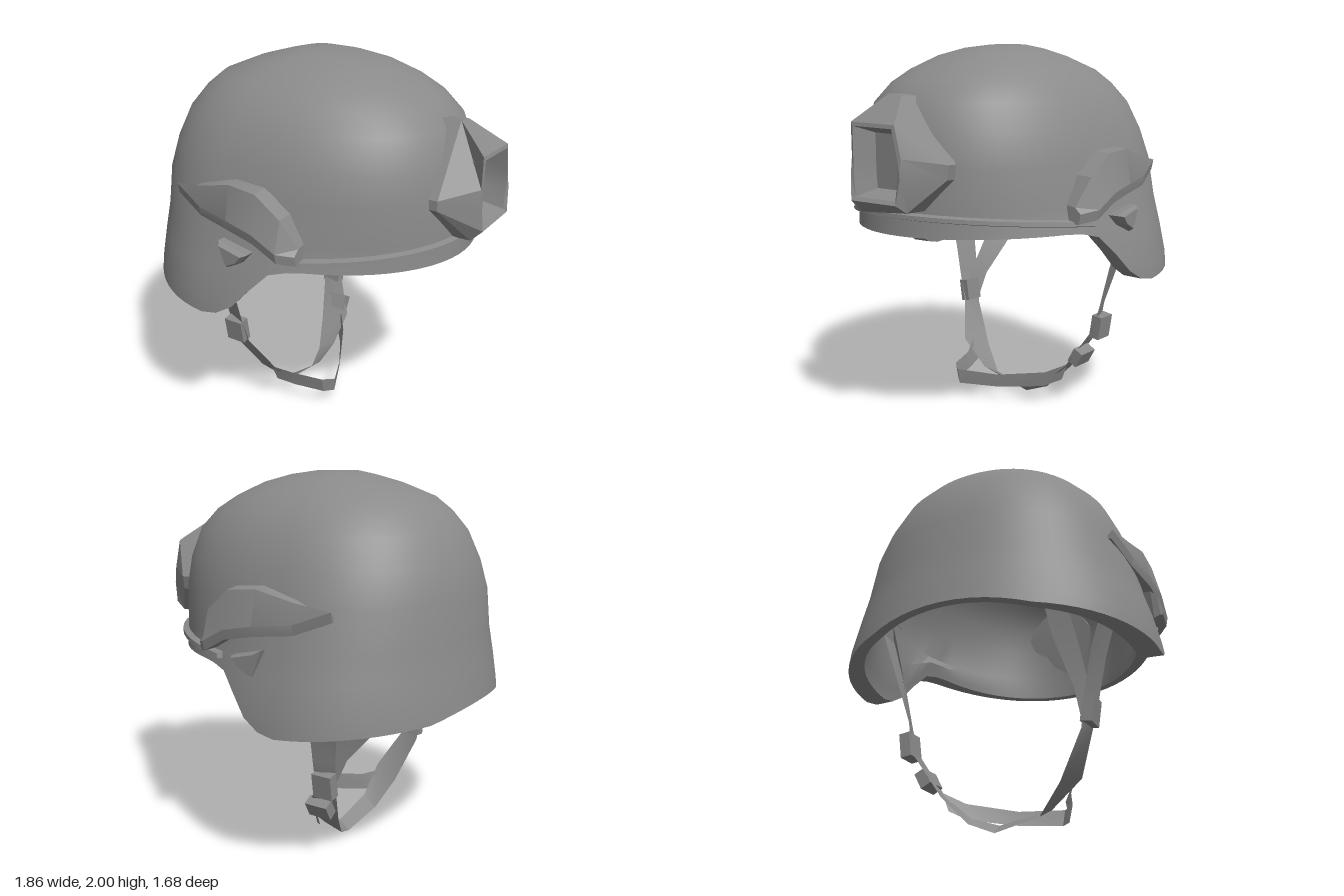
import * as THREE from 'three';
import { toCreasedNormals } from 'three/addons/utils/BufferGeometryUtils.js';

const grey = new THREE.MeshStandardMaterial({ color: 0x8a8a8a, side: THREE.DoubleSide });
grey.name = 'helmetGrey';

// Skin a list of cross-sections, each a list of [x, y, z]
function loft(rings, { closed = true, caps = false, crease = 0.6 } = {}) {
  const n = rings[0].length, index = [];
  for (let r = 0; r < rings.length - 1; r++) {
    for (let i = 0; i < (closed ? n : n - 1); i++) {
      const j = (i + 1) % n, a = r * n + i, b = r * n + j, c = b + n, d = a + n;
      index.push(a, d, b, b, d, c);
    }
  }
  if (caps) {
    const e = (rings.length - 1) * n;
    for (let i = 1; i < n - 1; i++) index.push(0, i, i + 1, e, e + i + 1, e + i);
  }
  const g = new THREE.BufferGeometry();
  g.setAttribute('position', new THREE.Float32BufferAttribute(rings.flat(2), 3));
  g.setIndex(index);
  return toCreasedNormals(g, crease);
}

function lerpTable(rows, key) {
  let i = 0;
  while (i < rows.length - 2 && key > rows[i + 1][0]) i++;
  const a = rows[i], b = rows[i + 1];
  const t = THREE.MathUtils.clamp((key - a[0]) / (b[0] - a[0]), 0, 1);
  return a.map((v, k) => v + (b[k] - v) * t);
}

// Shell outline by height: y, back x, front x, half width, x of the widest point
const SHELL = [
  [0.79, -0.95, 0.80, 0.84, -0.25], [0.9, -0.94, 0.80, 0.83, -0.25], [1.07, -0.915, 0.79, 0.79, -0.25],
  [1.2, -0.89, 0.78, 0.75, -0.25], [1.4, -0.87, 0.76, 0.71, -0.23], [1.55, -0.83, 0.735, 0.665, -0.2],
  [1.7, -0.765, 0.68, 0.60, -0.17], [1.8, -0.685, 0.585, 0.52, -0.14], [1.87, -0.6, 0.47, 0.44, -0.12],
  [1.94, -0.42, 0.32, 0.31, -0.1], [1.98, -0.27, 0.17, 0.2, -0.1], [2.0, -0.18, 0.02, 0.11, -0.1],
];
// Lower edge height by x: low at the back and ears, high over the brow
const RIM = [
  [-0.95, 0.9], [-0.85, 0.85], [-0.5, 0.815], [-0.2, 0.79], [-0.08, 0.85], [0.1, 1.05], [0.22, 1.08], [0.8, 1.07],
];

// The plan is an ellipse at the rim and grows blunter towards the crown
function shellPoint(y, angle, offset = 0) {
  const [, back, front, width, cx] = lerpTable(SHELL, y);
  const c = Math.cos(angle), s = Math.sin(angle);
  const blunt = THREE.MathUtils.smoothstep(y, 1.0, 1.5);
  const k = 1 - blunt * (c > 0 ? 0.14 : 0.07);
  const reach = c > 0 ? front - cx : cx - back;
  return [
    cx + Math.max(reach + offset, 0) * Math.sign(c) * Math.abs(c) ** k, y,
    Math.max(width + offset, 0) * Math.sign(s) * Math.abs(s) ** k,
  ];
}

function shellGeometry() {
  const N = 72, angles = Array.from({ length: N }, (_, i) => (i / N) * Math.PI * 2);
  const rim = angles.map((a) => lerpTable(RIM, shellPoint(0.9, a)[0])[1]);
  const upper = SHELL.slice(3).map((row) => row[0]);
  // The wall is thicker beside the ears
  const wall = (thick, ear, drop) => [
    ...[0, 0.2, 0.6].map((t) => angles.map((a, i) =>
      shellPoint(rim[i] + (1.2 - rim[i]) * t, a, -thick - ear * Math.sin(a) ** 4))),
    ...upper.map((y) => angles.map((a) => {
      const p = shellPoint(y, a, -thick);
      return [p[0], y - drop * (y - 1.2) / 0.8, p[2]];
    })),
  ];
  const tip = (y) => angles.map(() => [-0.1, y, 0]);
  return loft([tip(1.95), ...wall(0.045, 0.07, 0.05).reverse(), ...wall(0, 0, 0), tip(2.0)], { crease: 0.7 });
}

// Thin band hugging the shell above the brow
function browGeometry() {
  const rings = [];
  for (let i = 0; i <= 24; i++) {
    const a = (i / 24 - 0.5) * 2.4;
    const y = 1.085 + 0.065 * Math.pow(Math.cos(a), 1.3);
    rings.push([[y, -0.01], [y + 0.01, 0.03], [y + 0.03, 0.03], [y + 0.04, -0.01]].map(([h, o]) => shellPoint(h, a, o)));
  }
  return loft(rings, { caps: true });
}

// Faceted front mount with a recessed square socket
function mountGeometry() {
  const ring = (xs, zy) => zy.map(([z, y], i) => [xs[i], y, z]);
  const flat = (x) => Array(8).fill(x);
  const outline = [[0.04, 1.74], [-0.05, 1.73], [-0.34, 1.42], [-0.33, 1.35], [-0.2, 1.2], [0.12, 1.18], [0.28, 1.36], [0.28, 1.41]];
  const frame = [[0.13, 1.61], [-0.17, 1.6], [-0.21, 1.45], [-0.21, 1.36], [-0.19, 1.24], [0.12, 1.24], [0.13, 1.36], [0.13, 1.45]];
  const scaled = (t) => frame.map(([z, y]) => [-0.03 + (z + 0.03) * t, 1.42 + (y - 1.42) * t]);
  return loft([
    ring([0.63, 0.63, 0.68, 0.68, 0.74, 0.74, 0.69, 0.69], outline),
    ring([0.74, 0.74, 0.73, 0.73, 0.86, 0.86, 0.75, 0.75], outline),
    ring([0.9, 0.9, 0.9, 0.91, 0.92, 0.92, 0.91, 0.9], frame),
    ring(flat(0.905), scaled(0.9)),
    ring(flat(0.79), scaled(0.72)),
  ], { caps: true, crease: 0.3 });
}

// Arched side rail: x, top y, bottom y, outer z, depth; it fades into the shell at its ends
function railGeometry(s) {
  const stations = [
    [-0.48, 1.36, 1.34, 0.7, 0.03], [-0.3, 1.43, 1.27, 0.75, 0.06], [-0.1, 1.48, 1.25, 0.79, 0.1],
    [0.06, 1.465, 1.22, 0.805, 0.12], [0.19, 1.36, 1.15, 0.80, 0.14], [0.26, 1.22, 1.13, 0.74, 0.09],
  ];
  return loft(stations.map(([x, t, b, z, d]) => [
    [x, t, s * (z - d)], [x, t - 0.01, s * (z - d * 0.35)], [x, b + 0.05, s * z], [x, b, s * (z - 0.01)], [x, b, s * (z - d)],
  ]), { caps: true, crease: 0.4 });
}

// Small clip below the rail
function clipGeometry(s) {
  return loft([[0.74, 1], [0.79, 1], [0.82, 0.75]].map(([z, k]) =>
    [[-0.15, 1.19], [0.02, 1.15], [-0.02, 1.1], [-0.1, 1.06]].map(([x, y]) =>
      [-0.06 + (x + 0.06) * k, 1.13 + (y - 1.13) * k, s * z])), { caps: true, crease: 0.3 });
}

// Webbing given by matching edge points
const ribbon = (stations) => loft(stations, { closed: false, crease: 0.5 });

export function createModel() {
  const group = new THREE.Group();
  const add = (name, geometry) => {
    const mesh = new THREE.Mesh(geometry, grey);
    mesh.name = name;
    group.add(mesh);
    return mesh;
  };
  add('shell', shellGeometry());
  add('browBand', browGeometry());
  add('frontMount', mountGeometry());

  for (const [side, s] of [['left', -1], ['right', 1]]) {
    add(side + 'Rail', railGeometry(s));
    add(side + 'Clip', clipGeometry(s));
    const buckle = add(side + 'Buckle', new THREE.BoxGeometry(0.11, 0.13, 0.06));
    buckle.position.set(-0.315, s > 0 ? 0.51 : 0.46, s * 0.495);
    buckle.rotation.x = s * 0.15;
    // Front and rear straps meeting at the buckle, then running under the chin
    add(side + 'Strap', ribbon([
      [[-0.43, 1.1, s * 0.64], [-0.27, 1.1, s * 0.66]],
      [[-0.41, 0.8, s * 0.54], [-0.27, 0.8, s * 0.57]],
      [[-0.37, 0.58, s * 0.48], [-0.26, 0.58, s * 0.52]],
      [[-0.36, 0.42, s * 0.46], [-0.25, 0.44, s * 0.48]],
      [[-0.29, 0.19, s * 0.32], [-0.14, 0.24, s * 0.38]],
      [[-0.23, 0.05, s * 0.19], [-0.14, 0.1, s * 0.22]],
      [[-0.2, 0.0, -0.06], [-0.14, 0.05, -0.06]],
    ]));
    add(side + 'RearStrap', ribbon([
      [[-0.7, 0.97, s * 0.4], [-0.57, 0.97, s * 0.48]],
      [[-0.59, 0.8, s * 0.41], [-0.44, 0.8, s * 0.49]],
      [[-0.42, 0.6, s * 0.45], [-0.33, 0.62, s * 0.5]],
      [[-0.37, 0.48, s * 0.46], [-0.3, 0.5, s * 0.49]],
    ]));
  }

  // Chin strap, hanging askew with its corner towards the right
  add('chinStrap', ribbon([
    [[-0.19, 0.23, 0.36], [-0.19, 0.12, 0.31]],
    [[-0.08, 0.19, 0.3], [-0.08, 0.1, 0.28]],
    [[0.08, 0.175, 0.25], [0.08, 0.085, 0.23]],
    [[0.13, 0.165, 0.19], [0.12, 0.08, 0.18]],
    [[0.03, 0.155, -0.03], [0.02, 0.08, -0.03]],
    [[-0.1, 0.19, -0.27], [-0.11, 0.1, -0.25]],
    [[-0.18, 0.24, -0.37], [-0.18, 0.14, -0.33]],
  ]));
  const slider = add('strapSlider', new THREE.BoxGeometry(0.13, 0.09, 0.06));
  slider.position.set(-0.24, 0.29, -0.42);
  slider.rotation.x = -0.5;
  return group;
}
